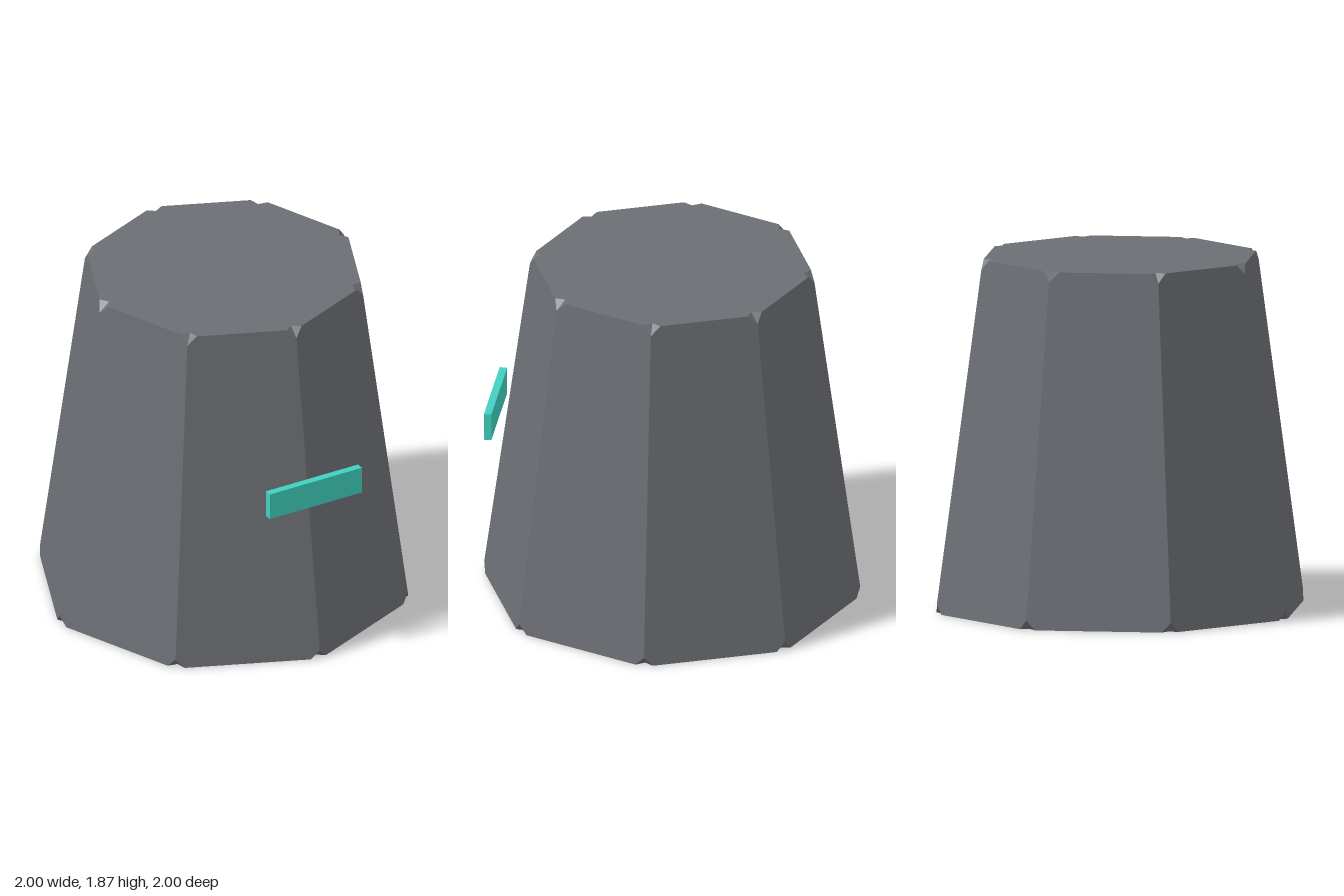
import * as THREE from 'three';

const SIDES = 8, HEIGHT = 1.87, R_BOTTOM = 1.007, R_TOP = 0.75, CHIP = 0.05;

// Point on corner edge i at height y, optionally pulled inward
function corner(i, y, inset = 0) {
  const a = (i / SIDES) * Math.PI * 2;
  const r = R_BOTTOM + (R_TOP - R_BOTTOM) * (y / HEIGHT) - inset;
  return new THREE.Vector3(Math.cos(a) * r, y, Math.sin(a) * r);
}

// Four points of the small notch knocked out of a corner at one rim
function chip(i, y, edgeY) {
  const c = corner(i, y);
  const along = (j) => c.clone().add(corner(j, y).sub(c).setLength(CHIP));
  return { edge: corner(i, edgeY), before: along(i - 1), after: along(i + 1), inner: corner(i, y, CHIP) };
}

// Tapered octagonal block with chipped corners
function taperedBlock() {
  const pos = [];
  const fan = (...p) => {
    for (let k = 1; k < p.length - 1; k++) {
      for (const v of [p[0], p[k], p[k + 1]]) pos.push(v.x, v.y, v.z);
    }
  };
  const topCentre = new THREE.Vector3(0, HEIGHT, 0);
  const bottomCentre = new THREE.Vector3(0, 0, 0);
  for (let i = 0; i < SIDES; i++) {
    const t = chip(i, HEIGHT, HEIGHT - CHIP), tn = chip(i + 1, HEIGHT, HEIGHT - CHIP);
    const b = chip(i, 0, CHIP), bn = chip(i + 1, 0, CHIP);
    // side panel
    fan(bn.before, b.after, b.edge, t.edge, t.after, tn.before, tn.edge, bn.edge);
    // notches
    fan(t.edge, t.before, t.inner);
    fan(t.edge, t.inner, t.after);
    fan(b.edge, b.inner, b.before);
    fan(b.edge, b.after, b.inner);
    // caps
    fan(topCentre, tn.inner, tn.before, t.after, t.inner);
    fan(bottomCentre, b.inner, b.after, bn.before, bn.inner);
  }
  const g = new THREE.BufferGeometry();
  g.setAttribute('position', new THREE.Float32BufferAttribute(pos, 3));
  g.computeVertexNormals();
  return g;
}

export function createModel() {
  const group = new THREE.Group();

  const body = new THREE.Mesh(
    taperedBlock(),
    new THREE.MeshStandardMaterial({ color: 0x6b6e73, flatShading: true })
  );
  body.name = 'body';
  group.add(body);

  // Flat plate standing just off the front edge
  const plate = new THREE.Mesh(
    new THREE.BoxGeometry(0.56, 0.15, 0.04),
    new THREE.MeshStandardMaterial({ color: 0x40d0c0 })
  );
  plate.name = 'frontPlate';
  plate.position.set(0, 0.98, 0.94);
  group.add(plate);

  return group;
}
